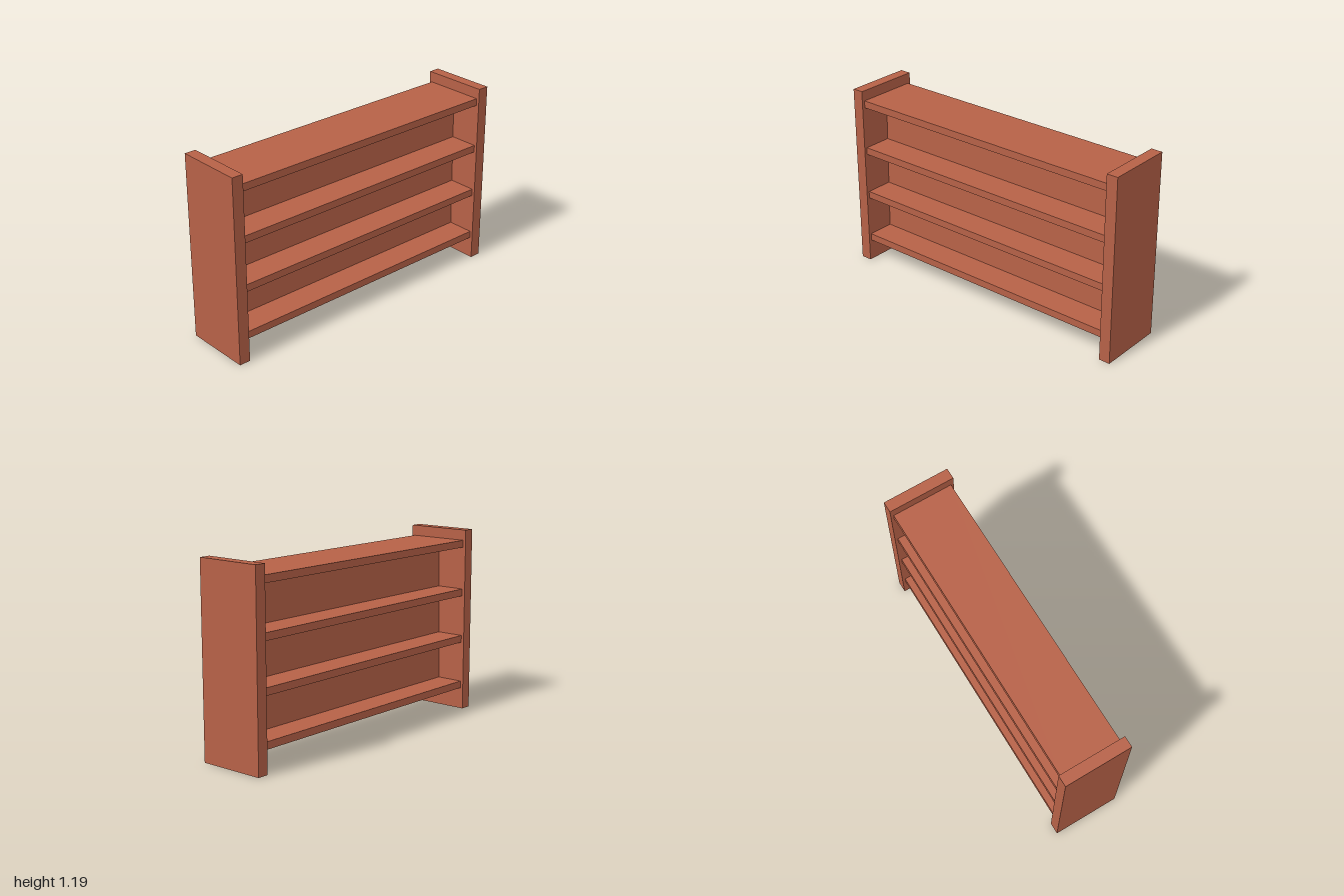
import * as THREE from 'three';

export function createModel() {
  const model = new THREE.Group();
  model.name = 'doubleSidedShelf';

  const wood = new THREE.MeshStandardMaterial({ color: 0xb66147, side: THREE.DoubleSide });
  wood.name = 'reddishWood';
  const darkWood = new THREE.MeshStandardMaterial({ color: 0x4f1212 });
  darkWood.name = 'darkUnderside';

  const height = 1.187, endThickness = 0.072;
  const innerLength = 2 - 2 * endThickness;

  const add = (name, geometry, material, x, y, z) => {
    const mesh = new THREE.Mesh(geometry, material);
    mesh.name = name;
    mesh.position.set(x, y, z);
    model.add(mesh);
    return mesh;
  };

  // Upright end boards, hollow and open at the foot (the box's -y face is dropped)
  const endBoard = new THREE.BoxGeometry(0.43, height, endThickness);
  endBoard.setIndex([...endBoard.index.array].filter((_, i) => i < 18 || i >= 24));
  endBoard.clearGroups();
  for (const [name, side] of [['frontEndBoard', 1], ['backEndBoard', -1]]) {
    add(name, endBoard, wood, 0, height / 2, side * (1 - endThickness / 2));
  }

  // Four shelves with dark undersides
  const shelfMaterials = [wood, wood, wood, darkWood, wood, wood];
  [0.161, 0.469, 0.778, 1.097].forEach((y, i) => {
    add('shelf' + (i + 1), new THREE.BoxGeometry(0.392, 0.046, innerLength),
      shelfMaterials, 0, y, 0);
  });

  // Two thin centre panels, leaning together at the top
  const bottom = 0.077, top = 1.09, spread = 0.021, gapTop = 0.001;
  const rise = top - bottom, lean = spread - gapTop;
  for (const [name, side] of [['leftCentrePanel', 1], ['rightCentrePanel', -1]]) {
    const panel = add(name, new THREE.BoxGeometry(0.002, Math.hypot(rise, lean), innerLength),
      wood, side * (spread + gapTop) / 2, (bottom + top) / 2, 0);
    panel.rotation.z = side * Math.atan2(lean, rise);
  }

  return model;
}
